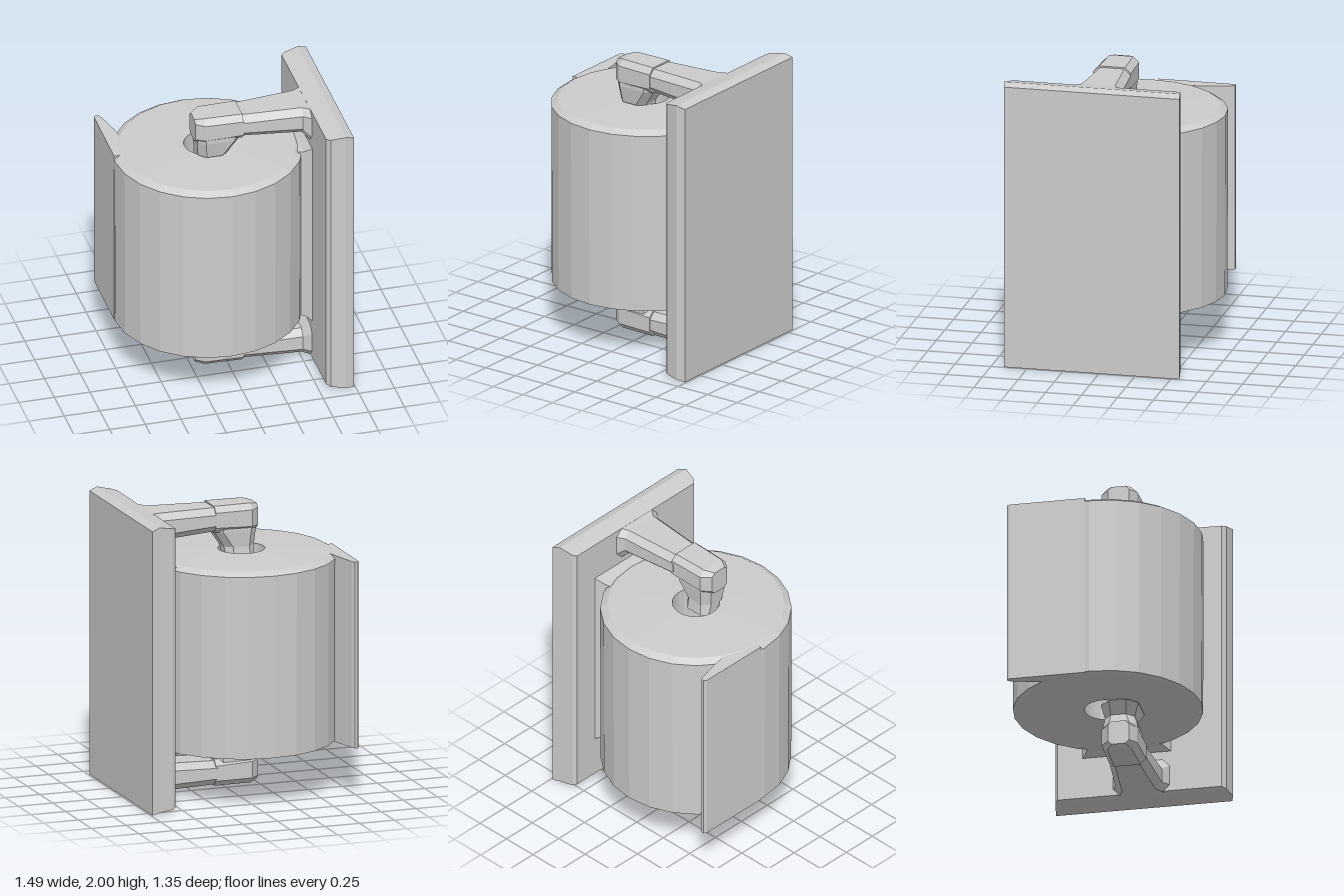
import * as THREE from 'three';

const material = new THREE.MeshStandardMaterial({ color: 0xcccccc, flatShading: true, side: THREE.DoubleSide });

// Closed solid through a row of equally sized point loops, with both ends capped.
function loft(loops) {
  const tris = [];
  const n = loops[0].length;
  for (let s = 0; s < loops.length - 1; s++) {
    for (let i = 0; i < n; i++) {
      const j = (i + 1) % n;
      const [a, b, c, d] = [loops[s][i], loops[s][j], loops[s + 1][j], loops[s + 1][i]];
      tris.push([a, b, c], [a, c, d]);
    }
  }
  const last = loops[loops.length - 1];
  for (let i = 1; i < n - 1; i++) {
    tris.push([loops[0][0], loops[0][i + 1], loops[0][i]], [last[0], last[i], last[i + 1]]);
  }
  // Turn the faces outward if the solid came out inverted.
  const v = tris.map(t => t.map(p => new THREE.Vector3(...p)));
  const volume = v.reduce((sum, [a, b, c]) => sum + a.dot(b.clone().cross(c)), 0);
  if (volume < 0) v.forEach(t => t.reverse());
  const geometry = new THREE.BufferGeometry().setFromPoints(v.flat());
  geometry.computeVertexNormals();
  return geometry;
}

// Rectangle with cut corners, in local (u, v).
function cutRect(u0, u1, v0, v1, c) {
  return [[u0 + c, v0], [u1 - c, v0], [u1, v0 + c], [u1, v1 - c],
    [u1 - c, v1], [u0 + c, v1], [u0, v1 - c], [u0, v0 + c]];
}
const acrossX = (x, y0, y1, z0, z1, c) => cutRect(y0, y1, z0, z1, c).map(([y, z]) => [x, y, z]);
const acrossY = (y, x0, x1, z0, z1, c) => cutRect(x0, x1, z0, z1, c).map(([x, z]) => [x, y, z]);
const rectX = (x, y0, y1, z0, z1) => [[x, y0, z0], [x, y1, z0], [x, y1, z1], [x, y0, z1]];

export function createModel() {
  const model = new THREE.Group();
  const add = (name, geometry, parent = model) => {
    const mesh = new THREE.Mesh(geometry, material);
    mesh.name = name;
    parent.add(mesh);
    return mesh;
  };

  // Wall plate with slightly bevelled edges
  add('wallPlate', loft([
    rectX(0.555, 0.03, 1.975, -0.51, 0.62),
    rectX(0.58, 0.02, 1.98, -0.53, 0.65),
    rectX(0.68, 0.01, 2, -0.548, 0.675),
    rectX(0.74, 0, 1.98, -0.56, 0.66),
  ]));

  // Paper roll with an open core
  const profile = [[0.16, 0.36], [0.6, 0.345], [0.645, 0.355], [0.648, 1.625],
    [0.6, 1.655], [0.16, 1.67], [0.16, 0.36]].map(p => new THREE.Vector2(...p));
  const roll = add('paperRoll', new THREE.LatheGeometry(profile, 24));
  roll.position.set(-0.1, 0, -0.03);

  // Loose sheet leaving the roll at a tangent
  const sheet = new THREE.Shape([[-0.745, -0.06], [-0.742, -0.58], [-0.73, -0.6], [-0.71, -0.6],
    [-0.695, -0.57], [-0.65, -0.39], [-0.6, -0.06]].map(([x, z]) => new THREE.Vector2(x, -z)));
  const flap = add('looseSheet', new THREE.ExtrudeGeometry(sheet, { depth: 1.3, bevelEnabled: false }));
  flap.rotation.x = -Math.PI / 2;
  flap.position.y = 0.35;

  // Strip joining the side of the roll to the plate
  add('rollBacking', loft([
    rectX(0.45, 0.35, 1.64, -0.28, 0.2),
    rectX(0.505, 0.35, 1.65, -0.3, 0.23),
    rectX(0.565, 0.32, 1.7, -0.345, 0.28),
  ]));

  // Upper and lower arms, mirrored about the middle height
  for (const top of [true, false]) {
    const flip = loops => top ? loops : loops.map(l => l.map(([x, y, z]) => [x, 2 - y, z]));
    const arm = new THREE.Group();
    arm.name = top ? 'upperArm' : 'lowerArm';
    model.add(arm);
    add('armBar', loft(flip([
      acrossX(0.08, 1.8, 1.965, -0.065, 0.19, 0.045),
      acrossX(0.505, 1.78, 1.97, -0.1, 0.22, 0.045),
      acrossX(0.57, 1.72, 1.975, -0.135, 0.275, 0.05),
    ])), arm);
    add('armEnd', loft(flip([
      acrossX(-0.23, 1.79, 1.96, -0.005, 0.14, 0.025),
      acrossX(-0.17, 1.78, 1.975, -0.06, 0.185, 0.04),
      acrossX(0.095, 1.79, 1.975, -0.065, 0.195, 0.04),
    ])), arm);
    // Tapered peg reaching into the core; the lower one flares against the roll
    const peg = [
      acrossY(1.86, -0.215, 0.09, -0.05, 0.185, 0.05),
      acrossY(1.79, -0.215, 0.085, -0.05, 0.185, 0.05),
      acrossY(top ? 1.68 : 1.73, -0.205, 0.01, -0.04, 0.165, 0.05),
    ];
    if (!top) peg.push(acrossY(1.65, -0.27, 0.08, -0.06, 0.2, 0.07));
    peg.push(acrossY(1.6, -0.2, 0, -0.05, 0.1, 0.04));
    add('corePeg', loft(flip(peg)), arm);
  }

  return model;
}
